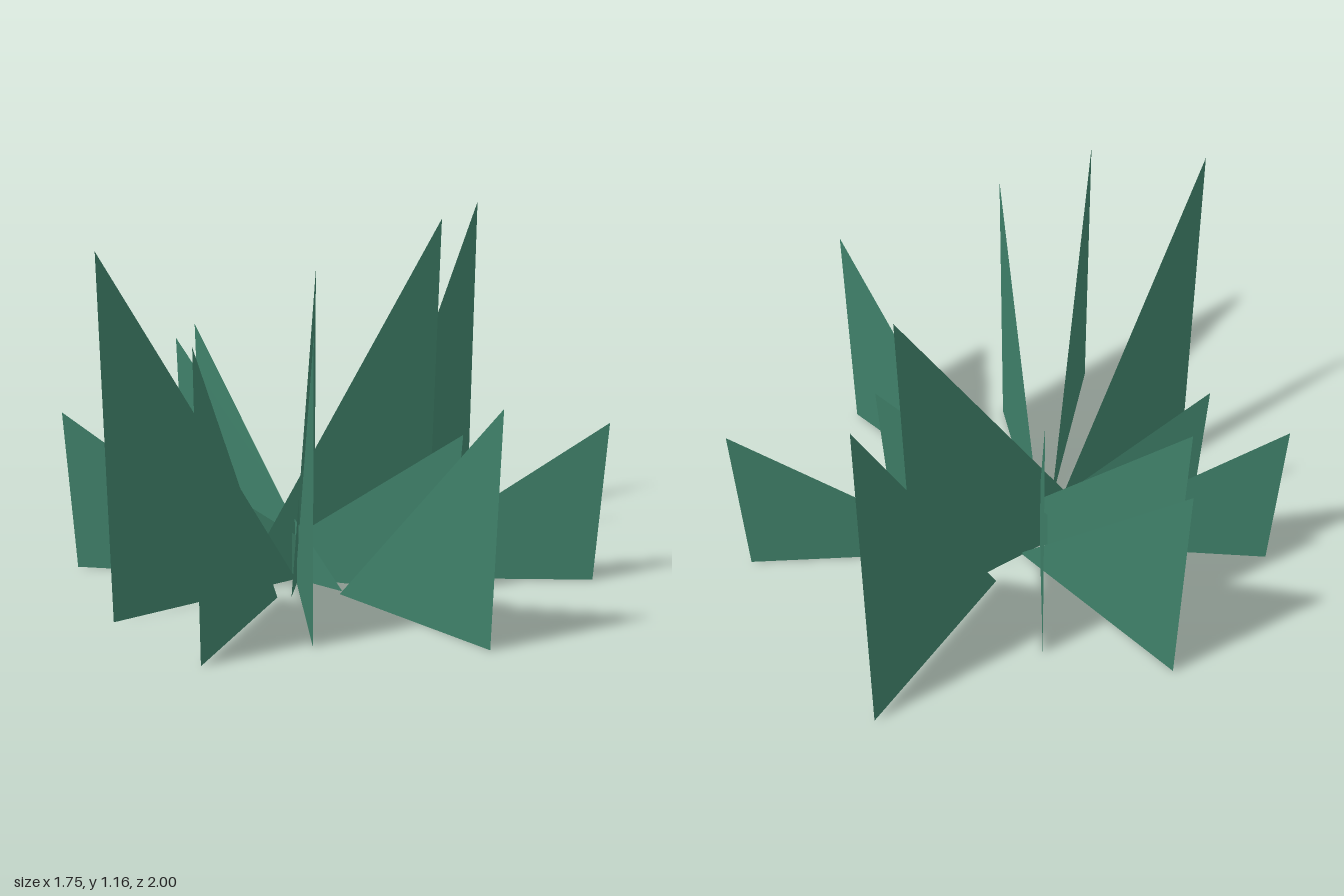
import * as THREE from 'three';

const LENGTH = 0.79; // ground length of every leaf, from inner point to tip
const LEAN = 0.045; // how far the tip overhangs its foot

// Per height: outer tip x, z, then inner point x, z
const TIERS = [
  [1.16, [[0.215, -1.0, 0.01, -0.235], [0.255, -0.47, -0.22, 0.15], [-0.455, 0.69, -0.09, -0.01]]],
  [0.95, [[-0.235, -0.57, -0.025, 0.19], [0, 1.0, -0.065, 0.21], [0.25, 0.7, -0.09, -0.01]]],
  [0.74, [[-0.62, -0.24, 0.1, 0.07], [-0.68, -0.53, -0.03, -0.08], [0.775, 0.53, 0.1, 0.1]]],
  [0.53, [[-0.875, 0.12, -0.1, -0.015], [0.87, -0.37, 0.11, -0.11], [0.48, -0.02, -0.29, -0.02], [-0.585, 0.265, 0.105, -0.12]]],
];

// Flat triangular leaf: tip above the origin, inner point towards -x
function leafGeometry(height) {
  const shape = new THREE.Shape();
  shape.moveTo(-LENGTH, 0);
  shape.lineTo(-LEAN, 0);
  shape.lineTo(0, height);
  shape.closePath();
  return new THREE.ShapeGeometry(shape);
}

export function createModel() {
  const plant = new THREE.Group();
  plant.name = 'plant';
  const material = new THREE.MeshStandardMaterial({ color: 0x3f8069, side: THREE.DoubleSide, flatShading: true });

  for (const [height, leaves] of TIERS) {
    const geometry = leafGeometry(height);
    for (const [tipX, tipZ, innerX, innerZ] of leaves) {
      const leaf = new THREE.Mesh(geometry, material);
      leaf.name = 'leaf';
      leaf.position.set(tipX, 0, tipZ);
      leaf.rotation.y = Math.atan2(-(tipZ - innerZ), tipX - innerX);
      plant.add(leaf);
    }
  }
  return plant;
}
